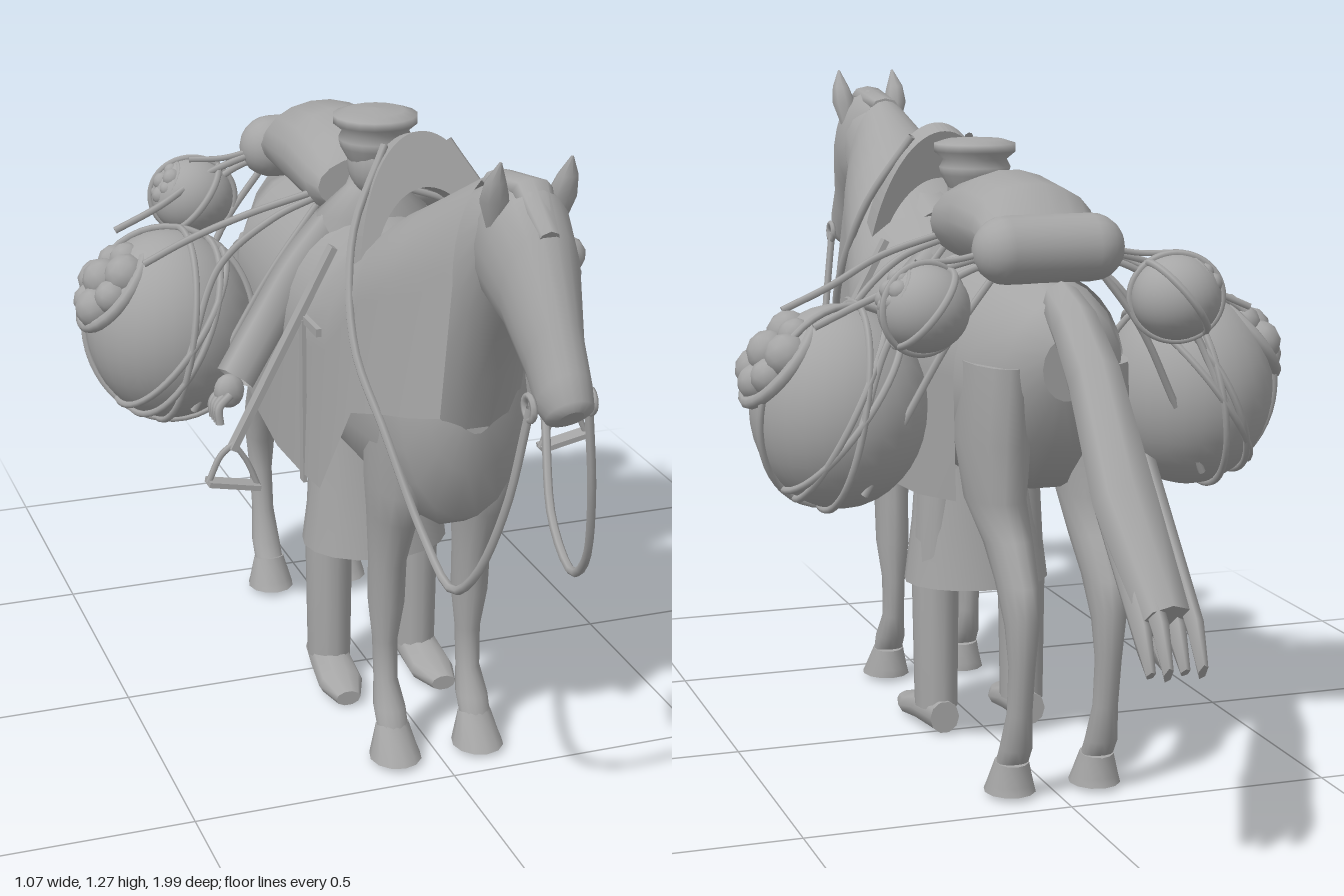
import * as THREE from 'three';

const grey = new THREE.MeshStandardMaterial({ color: 0xa6a6a6, side: THREE.DoubleSide });
grey.name = 'plain grey';
const V = (x, y, z) => new THREE.Vector3(x, y, z);

function surface(rows, closed, caps) {
  // Joins rows of points into one smooth skin
  const n = rows[0].length, pos = rows.flat().flatMap(p => [p.x, p.y, p.z]), idx = [];
  for (let r = 0; r < rows.length - 1; r++) {
    for (let i = 0; i < (closed ? n : n - 1); i++) {
      const a = r * n + i, b = r * n + (i + 1) % n;
      idx.push(a, a + n, b, b, a + n, b + n);
    }
  }
  if (caps) [0, rows.length - 1].forEach((r, end) => {
    const base = pos.length / 3;
    rows[r].forEach(p => pos.push(p.x, p.y, p.z));
    for (let i = 1; i < n - 1; i++) idx.push(base, base + (end ? i + 1 : i), base + (end ? i : i + 1));
  });
  const g = new THREE.BufferGeometry();
  g.setAttribute('position', new THREE.Float32BufferAttribute(pos, 3));
  g.setIndex(idx);
  g.computeVertexNormals();
  return g;
}

// Each section: z and y of one edge, z and y of the opposite edge, half width, x centre
function loft(sections, n = 18) {
  return surface(sections.map(([za, ya, zb, yb, w, x = 0]) =>
    Array.from({ length: n }, (_, i) => {
      const a = i / n * Math.PI * 2, t = (1 - Math.sin(a)) / 2;
      return V(x + w * Math.cos(a), ya + (yb - ya) * t, za + (zb - za) * t);
    })), true, true);
}

export function createModel() {
  const model = new THREE.Group();
  const add = (name, geo, x = 0, y = 0, z = 0) => {
    const m = new THREE.Mesh(geo, grey);
    m.name = name;
    m.position.set(x, y, z);
    model.add(m);
    return m;
  };
  const cord = (name, pts, r = 0.007) => add(name, new THREE.TubeGeometry(
    new THREE.CatmullRomCurve3(pts.map(p => V(...p))), 40, r, 6));

  // Horse trunk, neck and head
  add('trunk', loft([
    [-0.48, 0.86, -0.47, 0.74, 0.05], [-0.45, 0.92, -0.44, 0.65, 0.11], [-0.36, 0.95, -0.36, 0.56, 0.15],
    [-0.2, 0.96, -0.2, 0.53, 0.17], [0, 0.96, 0, 0.53, 0.175], [0.15, 0.97, 0.15, 0.52, 0.18],
    [0.3, 1.0, 0.32, 0.51, 0.17], [0.42, 1.0, 0.47, 0.5, 0.14], [0.5, 0.97, 0.54, 0.54, 0.12],
    [0.55, 0.9, 0.575, 0.64, 0.085], [0.58, 0.84, 0.588, 0.72, 0.035]]));
  add('neck', loft([
    [0.25, 1.01, 0.52, 0.58, 0.14], [0.38, 1.06, 0.585, 0.72, 0.125], [0.52, 1.13, 0.63, 0.83, 0.1],
    [0.66, 1.195, 0.69, 0.93, 0.08], [0.75, 1.21, 0.74, 1.01, 0.07]]));
  add('head', loft([
    [0.68, 1.21, 0.69, 1.04, 0.05], [0.76, 1.23, 0.71, 0.995, 0.072], [0.82, 1.22, 0.76, 0.985, 0.076],
    [0.87, 1.17, 0.81, 0.97, 0.068], [0.94, 1.04, 0.87, 0.91, 0.048], [0.98, 0.97, 0.91, 0.87, 0.046],
    [1.0, 0.93, 0.94, 0.865, 0.04], [0.995, 0.91, 0.96, 0.875, 0.02]]));
  add('forelock', loft([[0.66, 1.215, 0.66, 1.18, 0.03], [0.8, 1.235, 0.8, 1.2, 0.035], [0.88, 1.17, 0.86, 1.13, 0.02]], 8));

  // Riding cloth: arched sections [z, top, hem, half width, hem half width, hem z]
  const cloth = [
    [-0.32, 0.955, 0.54, 0.165, 0.16, -0.32], [-0.15, 0.965, 0.52, 0.18, 0.18, -0.15],
    [0.05, 0.97, 0.52, 0.19, 0.2, 0.05], [0.2, 0.98, 0.525, 0.19, 0.2, 0.2],
    [0.3, 1.02, 0.53, 0.185, 0.195, 0.3], [0.4, 1.08, 0.72, 0.16, 0.175, 0.42],
    [0.5, 1.13, 0.75, 0.135, 0.15, 0.52], [0.58, 1.17, 0.77, 0.115, 0.13, 0.6], [0.66, 1.21, 0.8, 0.085, 0.11, 0.69]];
  add('ridingCloth', surface(cloth.map(([z, top, hem, w, hw, hz]) => {
    const row = [], mid = hem + (top - hem) * 0.55;
    for (let i = 0; i <= 16; i++) {
      const a = i / 16 * Math.PI, k = (1 - Math.sin(a)) * 0.5;
      row.push(V(w * Math.cos(a), mid + (top - mid) * Math.sin(a), z + (hz - z) * k));
    }
    return [V(hw, hem, hz), ...row, V(-hw, hem, hz)];
  }), false, false));

  // Crescent pommel, leaning back over the withers
  const arch = new THREE.Shape();
  arch.moveTo(0.14, 0);
  arch.absellipse(0, 0, 0.14, 0.32, 0, Math.PI, false);
  arch.lineTo(-0.12, 0);
  arch.absellipse(0, 0, 0.12, 0.22, Math.PI, 0, true);
  const pommel = add('pommel', new THREE.ExtrudeGeometry(arch, { depth: 0.05, bevelEnabled: false, curveSegments: 20 }), 0, 0.865, 0.335);
  pommel.rotation.x = -0.3;

  // Tail with loose strands
  add('tail', loft([[-0.43, 0.95, -0.45, 0.86, 0.04], [-0.52, 0.92, -0.5, 0.82, 0.045], [-0.63, 0.84, -0.57, 0.75, 0.05],
    [-0.8, 0.66, -0.74, 0.58, 0.06, 0.01], [-0.95, 0.49, -0.89, 0.42, 0.045]], 8));
  for (let i = 0; i < 5; i++) {
    const x = (i - 2) * 0.02, d = (i % 3) * 0.025;
    add('tailStrand', loft([[-0.74, 0.7 - d, -0.72, 0.62 - d, 0.02, x], [-0.96 + d, 0.47 - d * 0.4, -0.93 + d, 0.43 - d, 0.014, x],
      [-0.99 + d, 0.4 - d * 0.5, -0.97 + d, 0.37, 0.008, x]], 5));
  }

  // Standing rider
  add('riderTorso', loft([[0.12, 0.5, -0.05, 0.5, 0.12], [0.12, 0.8, -0.05, 0.8, 0.12], [0.1, 0.97, -0.04, 0.97, 0.11],
    [0.07, 1.02, -0.01, 1.02, 0.05], [0.07, 1.06, 0.0, 1.06, 0.035]]));
  add('coatSkirt', loft([[0.14, 0.56, -0.05, 0.56, 0.12], [0.15, 0.42, -0.06, 0.42, 0.13], [0.165, 0.3, -0.075, 0.3, 0.145]]));
  add('riderHead', new THREE.SphereGeometry(0.058, 18, 12), 0, 1.07, 0.05).scale.set(0.9, 1.2, 1.1);
  add('riderNose', new THREE.ConeGeometry(0.012, 0.03, 6), 0, 1.06, 0.112);
  add('hat', new THREE.LatheGeometry([[0.052, 1.075], [0.066, 1.1], [0.07, 1.115], [0.062, 1.13], [0.08, 1.145], [0.08, 1.16], [0.055, 1.168], [0, 1.172]]
    .map(p => new THREE.Vector2(...p)), 18), 0, 0, 0.05);

  // Pack and bedroll
  add('pack', loft([[0.01, 1.07, 0.01, 0.96, 0.1], [-0.03, 1.1, -0.02, 0.94, 0.115], [-0.15, 1.125, -0.15, 0.94, 0.12],
    [-0.28, 1.11, -0.28, 0.95, 0.12], [-0.34, 1.06, -0.34, 0.96, 0.11]]));
  add('bedroll', new THREE.CapsuleGeometry(0.062, 0.16, 6, 18), 0, 1.0, -0.365).rotation.z = Math.PI / 2;

  // Stuffed sack with a rolled mouth that faces outward, and ropes hugging the bag
  const sack = (name, s, c, r, mouth, lean, ropes) => {
    const g = new THREE.Group();
    g.name = name;
    const part = (n, geo, p = [0, 0, 0]) => {
      const m = new THREE.Mesh(geo, grey);
      m.name = n;
      m.position.set(...p);
      g.add(m);
      return m;
    };
    part('bag', new THREE.SphereGeometry(1, 28, 20)).scale.set(...r);
    const tip = new THREE.Group();
    tip.rotation.z = -s * lean;
    g.add(tip);
    const h = r[1] * 0.76;
    const rim = part('rolledMouth', new THREE.TorusGeometry(mouth, mouth * 0.13, 8, 24), [0, h, 0]);
    rim.rotation.x = Math.PI / 2;
    tip.add(rim);
    for (let i = 0; i < 8; i++) {
      const a = i * Math.PI * 2 / 7, q = i < 7 ? mouth * 0.6 : 0;
      const lump = part('lump', new THREE.IcosahedronGeometry(mouth * (0.36 + 0.08 * (i % 2)), 1),
        [q * Math.cos(a), h + mouth * (i < 7 ? 0.1 : 0.25), q * Math.sin(a)]);
      lump.rotation.set(i, i * 2, 0);
      tip.add(lump);
    }
    // Each rope is a ring around the bag whose plane has this normal
    ropes.forEach(([nx, ny, nz]) => {
      const turn = new THREE.Quaternion().setFromUnitVectors(V(0, 0, 1), V(s * nx, ny, nz).normalize());
      const ring = Array.from({ length: 24 }, (_, i) => {
        const a = i / 24 * Math.PI * 2;
        return V(Math.cos(a), Math.sin(a), 0).applyQuaternion(turn).multiply(V(...r)).multiplyScalar(1.025);
      });
      part('bagRope', new THREE.TubeGeometry(new THREE.CatmullRomCurve3(ring, true), 48, 0.007, 6, true));
    });
    g.position.set(s * c[0], c[1], c[2]);
    model.add(g);
  };

  for (const s of [1, -1]) {
    const side = s > 0 ? 'left' : 'right';
    const mir = pts => pts.map(([x, y, z]) => [s * x, y, z]);

    // Horse legs, hooves and ears
    const fx = s * 0.083;
    add(side + 'FrontLeg', loft([[0.53, 0.7, 0.3, 0.7, 0.055, fx], [0.505, 0.57, 0.3, 0.57, 0.052, fx], [0.46, 0.5, 0.3, 0.5, 0.042, fx],
      [0.41, 0.4, 0.302, 0.4, 0.033, fx], [0.395, 0.31, 0.305, 0.31, 0.033, fx], [0.375, 0.23, 0.312, 0.23, 0.023, fx],
      [0.375, 0.15, 0.32, 0.15, 0.022, fx], [0.405, 0.1, 0.335, 0.1, 0.03, fx], [0.415, 0.065, 0.36, 0.07, 0.03, fx]], 14));
    add(side + 'FrontHoof', loft([[0.41, 0.075, 0.36, 0.065, 0.032, fx], [0.45, 0.025, 0.35, 0.025, 0.044, fx], [0.46, 0.01, 0.35, 0.01, 0.049, fx]], 12));
    add(side + 'HindLeg', loft([[-0.22, 0.8, -0.46, 0.8, 0.06, s * 0.09], [-0.21, 0.66, -0.455, 0.66, 0.063, s * 0.095],
      [-0.24, 0.54, -0.425, 0.55, 0.052, s * 0.09], [-0.32, 0.465, -0.45, 0.485, 0.042, fx], [-0.37, 0.41, -0.495, 0.41, 0.036, fx],
      [-0.425, 0.33, -0.502, 0.35, 0.031, fx], [-0.435, 0.26, -0.49, 0.26, 0.024, fx], [-0.425, 0.17, -0.475, 0.17, 0.023, fx],
      [-0.4, 0.1, -0.462, 0.1, 0.03, fx], [-0.38, 0.065, -0.44, 0.07, 0.03, fx]], 14));
    add(side + 'HindHoof', loft([[-0.38, 0.075, -0.44, 0.065, 0.032, fx], [-0.355, 0.025, -0.445, 0.025, 0.044, fx], [-0.345, 0.01, -0.45, 0.01, 0.048, fx]], 12));
    add(side + 'Ear', loft([[0.79, 1.15, 0.76, 1.15, 0.014, s * 0.053], [0.81, 1.2, 0.76, 1.2, 0.026, s * 0.058],
      [0.815, 1.235, 0.78, 1.235, 0.018, s * 0.062], [0.818, 1.27, 0.812, 1.27, 0.002, s * 0.061]], 8));

    // Rider leg, shoe, arm and hand
    const lx = s * 0.09;
    add(side + 'TrouserLeg', loft([[0.09, 0.55, -0.03, 0.55, 0.05, lx * 0.8], [0.09, 0.3, -0.03, 0.3, 0.045, lx], [0.08, 0.05, -0.025, 0.05, 0.042, lx]], 12));
    add(side + 'Shoe', loft([[-0.03, 0.07, -0.03, 0.005, 0.03, lx], [0.05, 0.075, 0.05, 0.005, 0.042, s * 0.093],
      [0.12, 0.05, 0.12, 0, 0.045, s * 0.096], [0.18, 0.035, 0.18, 0.005, 0.025, s * 0.1]], 10));
    cord(side + 'Sleeve', mir([[0.08, 0.95, 0.03], [0.15, 0.87, 0.035], [0.22, 0.77, 0.05], [0.29, 0.68, 0.08]]), 0.038);
    add(side + 'Palm', new THREE.SphereGeometry(0.03, 10, 8), s * 0.305, 0.66, 0.09).scale.set(1, 1.1, 0.8);
    for (let i = 0; i < 4; i++) {
      const z = 0.07 + i * 0.015;
      cord(side + 'Finger', mir([[0.31, 0.66, z], [0.335, 0.64, z + 0.01], [0.335, 0.61, z + 0.015]]), 0.008);
    }

    // Reins and bit
    cord(side + 'Rein', mir([[0.05, 0.9, 0.93], [0.075, 0.72, 0.9], [0.1, 0.57, 0.83], [0.11, 0.515, 0.75], [0.12, 0.57, 0.64],
      [0.15, 0.72, 0.53], [0.172, 0.85, 0.43], [0.14, 1.02, 0.33], [0.06, 1.16, 0.27]]), 0.008);
    add(side + 'BitRing', new THREE.TorusGeometry(0.02, 0.006, 6, 14), s * 0.052, 0.9, 0.93).rotation.y = Math.PI / 2;

    // Stirrup leather and stirrup
    const leather = add(side + 'StirrupLeather', new THREE.BoxGeometry(0.012, 0.42, 0.025), s * 0.235, 0.775, 0.205);
    leather.rotation.z = s * 0.49;
    cord(side + 'Stirrup', mir([[0.33, 0.6, 0.205], [0.355, 0.58, 0.205], [0.38, 0.53, 0.205]]), 0.006);
    cord(side + 'Stirrup', mir([[0.33, 0.6, 0.205], [0.305, 0.56, 0.205], [0.285, 0.51, 0.205]]), 0.006);
    add(side + 'Footrest', new THREE.BoxGeometry(0.1, 0.01, 0.035), s * 0.333, 0.52, 0.205).rotation.z = s * 0.2;
    add(side + 'SaddleStrap', new THREE.BoxGeometry(0.008, 0.32, 0.02), s * 0.197, 0.67, 0.21);
    add(side + 'SaddleStrapTop', new THREE.BoxGeometry(0.01, 0.015, 0.11), s * 0.193, 0.83, 0.24);

    // Sacks and the ropes that hang them from the pack
    sack(side + 'LargeSack', s, [0.345, 0.705, -0.195], [0.163, 0.188, 0.172], 0.095, 0.88,
      [[0.76, 0.65, 0], [0.85, 0.5, 0.12], [0.97, 0.2, 0], [0.3, 0.2, 0.93]]);
    sack(side + 'SmallSack', s, [0.24, 0.905, -0.385], [0.083, 0.078, 0.078], 0.045, 1.05, [[0.8, 0.6, 0], [0.3, 0, 1]]);
    for (const z of [-0.03, -0.36]) {
      const back = z < -0.2, edge = z + (back ? 0.02 : -0.02);
      cord(side + 'HangingRope', mir([[0.08, 0.99, z], [0.18, 0.95, z], [0.28, 0.86, edge], [0.35, 0.7, back ? -0.37 : -0.02]]));
      cord(side + 'LowerRope', mir([[0.09, 0.97, z], [0.18, 0.85, z], [0.25, 0.72, edge], [0.33, 0.56, back ? -0.31 : -0.08]]));
      cord(side + 'TopRope', mir([[0.08, 1.0, z], [0.22, 0.96, z * 0.9 - 0.02], [0.33, 0.91, z * 0.7 - 0.06], [0.42, 0.87, z * 0.7 - 0.06]]));
    }
    cord(side + 'SmallSackRope', mir([[0.1, 1.0, -0.36], [0.18, 0.985, -0.36], [0.25, 0.985, -0.37]]), 0.006);
  }
  return model;
}
